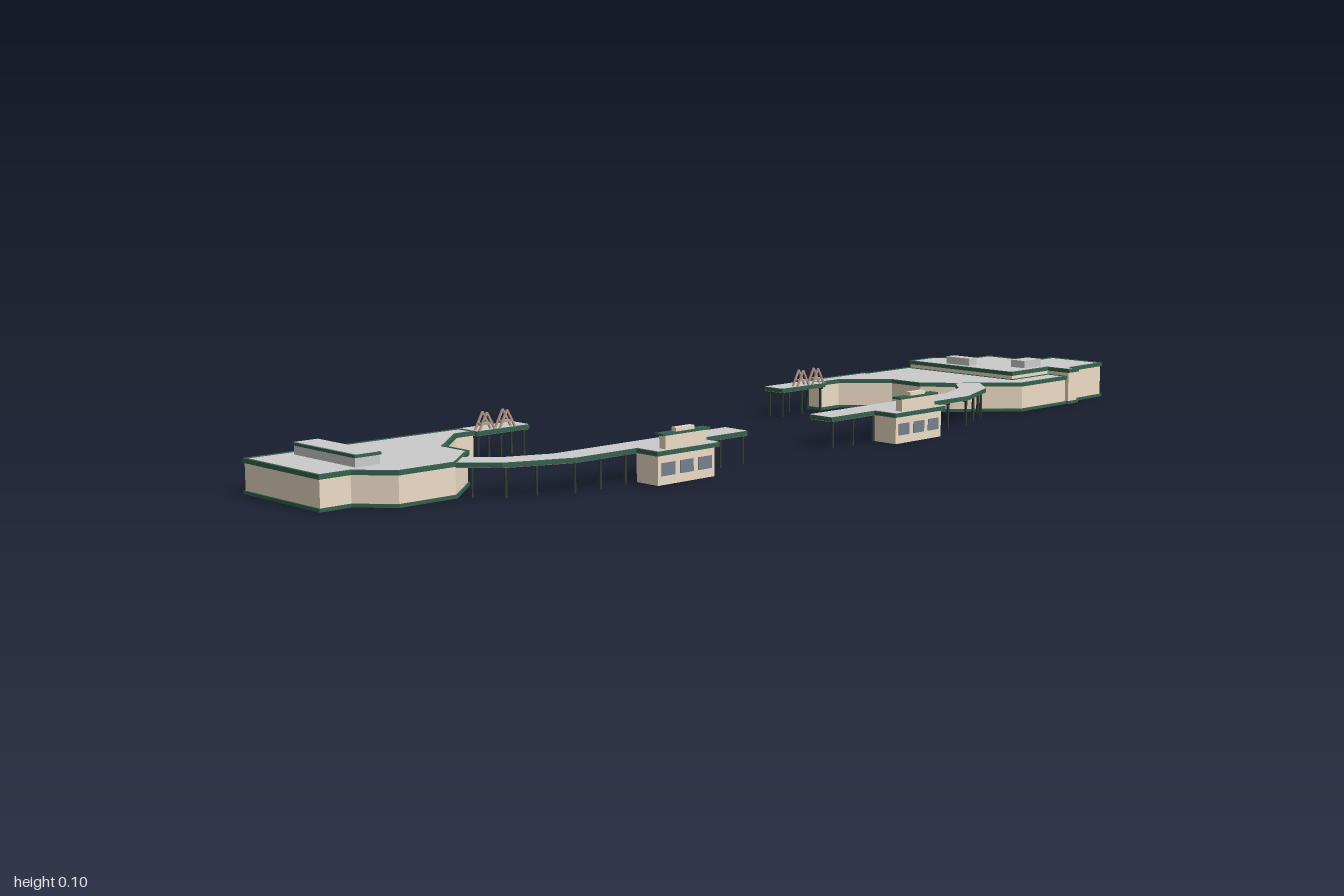
import * as THREE from 'three';

const mat = (color) => new THREE.MeshStandardMaterial({ color, side: THREE.DoubleSide, flatShading: true });
const GREY = mat(0xcccccc), CREAM = mat(0xeddcc6), GREEN = mat(0x35614d), DARK = mat(0x28382f),
  SOFFIT = mat(0x776c64), GLASS = mat(0x77808f), POST = mat(0x2f3a35), TIMBER = mat(0xb59a8c);

const add = (group, name, geo, material) => {
  const mesh = new THREE.Mesh(geo, material);
  mesh.name = name;
  group.add(mesh);
  return mesh;
};

// Box given by its limits on each axis
const block = (group, name, material, [x0, x1], [y0, y1], [z0, z1]) => {
  const mesh = add(group, name, new THREE.BoxGeometry(x1 - x0, y1 - y0, z1 - z0), material);
  mesh.position.set((x0 + x1) / 2, (y0 + y1) / 2, (z0 + z1) / 2);
  return mesh;
};

// Moves a plan outline of [x, z] corners inwards by d
function inset(pts, d) {
  const v = pts.map(([x, z]) => new THREE.Vector2(x, z));
  const s = Math.sign(THREE.ShapeUtils.area(v)), n = v.length;
  const normal = (a, b) => new THREE.Vector2(-(b.y - a.y), b.x - a.x).normalize().multiplyScalar(s);
  return v.map((p, i) => {
    const n1 = normal(v[(i + n - 1) % n], p), n2 = normal(p, v[(i + 1) % n]);
    const m = n1.clone().add(n2).multiplyScalar(d / (1 + n1.dot(n2)));
    return [p.x + m.x, p.y + m.y];
  });
}

const plan = (pts) => new THREE.Shape(pts.map(([x, z]) => new THREE.Vector2(x, -z)));
const sheet = (pts, y) => new THREE.ShapeGeometry(plan(pts)).rotateX(-Math.PI / 2).translate(0, y, 0);
const prism = (pts, y0, y1, hole) => {
  const shape = plan(pts);
  if (hole) shape.holes.push(plan(hole));
  return new THREE.ExtrudeGeometry(shape, { depth: y1 - y0, bevelEnabled: false })
    .rotateX(-Math.PI / 2).translate(0, y0, 0);
};

// Hollow building: thin walls, base strip, green roof edge and grey roof deck
function building(name, pts, top) {
  const g = new THREE.Group();
  g.name = name;
  const wall = inset(pts, 0.003), inner = inset(pts, 0.006);
  add(g, 'walls', prism(wall, 0, top - 0.006, inner), CREAM);
  add(g, 'baseStrip', prism(pts, 0, 0.006, wall), GREEN);
  add(g, 'roofEdge', prism(pts, top - 0.008, top, inner), GREEN);
  add(g, 'roofDeck', sheet(inner, top - 0.001), GREY);
  add(g, 'ceiling', sheet(inner, top - 0.008), DARK);
  return g;
}

// Flat canopy slab with grey top and ribbed soffit
function canopy(group, name, pts) {
  add(group, name, prism(pts, 0.053, 0.061), GREEN);
  add(group, name + 'Top', sheet(pts, 0.0618), GREY);
  add(group, name + 'Soffit', sheet(pts, 0.0524), SOFFIT);
}

const post = (group, x, z) => block(group, 'post', POST, [x - 0.002, x + 0.002], [0, 0.053], [z - 0.002, z + 0.002]);

// Curved platform walkway with its small station house
function platform() {
  const g = new THREE.Group();
  g.name = 'platform';
  canopy(g, 'walkwayCanopy', [[0.04, 0.115], [0.452, 0.115], [0.532, 0.083], [0.585, 0.03],
    [0.623, 0.067], [0.57, 0.126], [0.452, 0.174], [0.04, 0.174]]);
  for (let x = 0.048; x < 0.46; x += 0.0575) {
    post(g, x, 0.169);
    block(g, 'soffitRib', POST, [x - 0.002, x + 0.002], [0.049, 0.053], [0.117, 0.172]);
  }
  for (const [x, z] of [[0.51, 0.14], [0.56, 0.12], [0.6, 0.08]]) post(g, x, z);

  // Station house: body, eaves, windows and raised lantern
  block(g, 'stationBody', CREAM, [0.171, 0.307], [0, 0.054], [0.167, 0.222]);
  block(g, 'stationEaves', GREEN, [0.163, 0.313], [0.053, 0.061], [0.17, 0.228]);
  block(g, 'stationRoof', GREY, [0.165, 0.311], [0.061, 0.062], [0.17, 0.226]);
  for (const x of [0.195, 0.239, 0.283]) {
    block(g, 'window', GLASS, [x - 0.016, x + 0.016], [0.016, 0.039], [0.221, 0.2232]);
  }
  block(g, 'lantern', CREAM, [0.19, 0.288], [0.061, 0.088], [0.205, 0.221]);
  block(g, 'lanternCap', GREEN, [0.182, 0.296], [0.086, 0.09], [0.203, 0.223]);
  block(g, 'lanternTop', CREAM, [0.217, 0.261], [0.09, 0.097], [0.207, 0.219]);
  return g;
}

// Rear canopy on posts, with small crossed A-frames on top
function rearCanopy(name, x0, x1, frames) {
  const g = new THREE.Group();
  g.name = name;
  canopy(g, 'rearCanopyRoof', [[x0, -0.222], [x1, -0.222], [x1, -0.17], [x0, -0.17]]);
  for (let i = 0; i < 3; i++) {
    const x = x0 + 0.008 + (i * (x1 - x0 - 0.016)) / 2;
    for (const z of [-0.215, -0.178]) post(g, x, z);
    block(g, 'soffitRib', POST, [x - 0.002, x + 0.002], [0.049, 0.053], [-0.22, -0.172]);
  }
  for (const x of frames) {
    for (const z of [-0.182, -0.169]) {
      for (const s of [-1, 1]) {
        const leg = add(g, 'frameLeg', new THREE.BoxGeometry(0.0035, 0.038, 0.0035), TIMBER);
        leg.position.set(x + s * 0.009, 0.078, z);
        leg.rotation.z = s * 0.5;
      }
    }
    block(g, 'frameTie', TIMBER, [x - 0.012, x + 0.012], [0.072, 0.075], [-0.183, -0.168]);
  }
  return g;
}

export function createModel() {
  const model = new THREE.Group();
  model.name = 'stationComplex';

  // Right-hand low building with its roof unit
  const west = building('westBuilding', [[-1, -0.222], [-0.543, -0.222], [-0.543, -0.174], [-0.585, -0.174],
    [-0.68, -0.083], [-0.68, -0.013], [-0.767, 0.067], [-0.885, 0.067], [-0.938, 0.008], [-1, 0.008]], 0.062);
  block(west, 'roofUnit', GREY, [-0.915, -0.866], [0.06, 0.078], [-0.195, -0.013]);
  block(west, 'roofUnitEdge', GREEN, [-0.917, -0.864], [0.077, 0.082], [-0.197, -0.011]);
  block(west, 'roofUnitTop', GREY, [-0.914, -0.867], [0.082, 0.083], [-0.194, -0.014]);

  // Left-hand building: a low wing and a taller hall
  const wing = building('eastLowWing', [[0.393, -0.227], [0.58, -0.227], [0.58, -0.217], [0.72, -0.217],
    [0.72, 0.078], [0.848, 0.078], [0.848, 0.131], [0.69, 0.131], [0.58, 0.03], [0.532, -0.024],
    [0.532, -0.104], [0.452, -0.184], [0.393, -0.184]], 0.062);
  const hall = building('eastHall', [[0.72, -0.217], [0.8, -0.217], [0.864, -0.147], [0.922, -0.147],
    [0.922, -0.024], [1, -0.024], [1, 0.115], [0.885, 0.118], [0.885, 0.135], [0.848, 0.135],
    [0.848, 0.078], [0.72, 0.078]], 0.077);
  block(hall, 'roofUnit', GREY, [0.746, 0.773], [0.075, 0.092], [-0.128, -0.063]);
  block(hall, 'roofUnit', GREY, [0.8, 0.858], [0.075, 0.092], [0.013, 0.05]);

  // Matching platforms on both sides
  const east = platform();
  const mirrored = platform();
  mirrored.name = 'platformMirrored';
  mirrored.scale.x = -1;
  mirrored.position.x = -0.147;

  model.add(west, wing, hall, east, mirrored,
    rearCanopy('rearCanopyWest', -0.543, -0.42, [-0.52, -0.473]),
    rearCanopy('rearCanopyEast', 0.26, 0.393, [0.322, 0.368]));
  return model;
}
